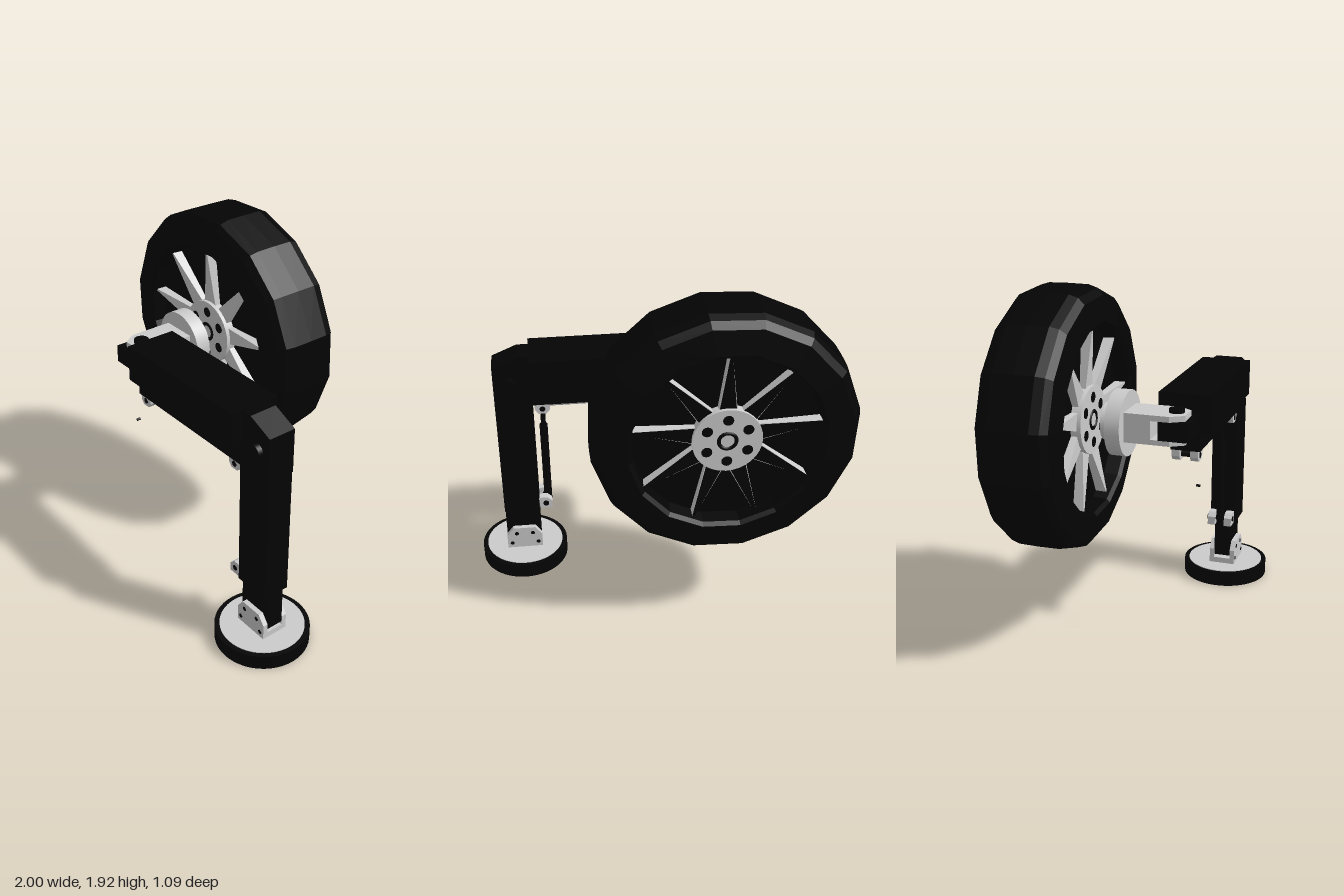
import * as THREE from 'three';

const black = new THREE.MeshStandardMaterial({ color: 0x040404, side: THREE.DoubleSide });
const blackFlat = new THREE.MeshStandardMaterial({ color: 0x040404, side: THREE.DoubleSide, flatShading: true });
const grey = new THREE.MeshStandardMaterial({ color: 0xcccccc, side: THREE.DoubleSide });

export function createModel() {
  const model = new THREE.Group();

  function add(name, geometry, material, parent = model) {
    const mesh = new THREE.Mesh(geometry, material);
    mesh.name = name;
    parent.add(mesh);
    return mesh;
  }

  // Box given by its limits on each axis
  function block(name, [x0, x1], [y0, y1], [z0, z1], material) {
    const g = new THREE.BoxGeometry(x1 - x0, y1 - y0, z1 - z0);
    g.translate((x0 + x1) / 2, (y0 + y1) / 2, (z0 + z1) / 2);
    return add(name, g, material);
  }

  // Cylinder between two points
  function rod(name, a, b, radius, material, parent = model, sides = 24) {
    const from = new THREE.Vector3(...a), to = new THREE.Vector3(...b);
    const dir = to.clone().sub(from);
    const mesh = add(name, new THREE.CylinderGeometry(radius, radius, dir.length(), sides), material, parent);
    mesh.position.copy(from).add(to).multiplyScalar(0.5);
    mesh.quaternion.setFromUnitVectors(new THREE.Vector3(0, 1, 0), dir.normalize());
    return mesh;
  }

  // Outline in x and y, extruded from z0 to z1
  function plate(name, points, z0, z1, material) {
    const shape = new THREE.Shape(points.map(p => new THREE.Vector2(...p)));
    const g = new THREE.ExtrudeGeometry(shape, { depth: z1 - z0, bevelEnabled: false });
    g.translate(0, 0, z0);
    return add(name, g, material);
  }

  // Wheel, built around its own centre with the axle along z
  const wheel = new THREE.Group();
  wheel.name = 'wheel';
  wheel.position.set(-0.317, 1.236, -0.335);
  model.add(wheel);

  const tyreProfile = [
    [0.49, -0.19], [0.51, -0.207], [0.64, -0.187], [0.675, -0.157], [0.69, -0.11],
    [0.692, 0], [0.69, 0.11], [0.675, 0.157], [0.64, 0.187], [0.51, 0.207], [0.49, 0.19],
    [0.485, 0.1], [0.485, -0.1], [0.49, -0.19],
  ].map(p => new THREE.Vector2(...p));
  const tyre = new THREE.LatheGeometry(tyreProfile, 16, THREE.MathUtils.degToRad(13.5));
  add('tyre', tyre.rotateX(Math.PI / 2), blackFlat, wheel);
  rod('rimDisc', [0, 0, -0.11], [0, 0, 0.11], 0.49, black, wheel, 32);

  // Spokes narrow to a point and deepen toward the rim
  function spokeGeometry(width, z0, z1, flare) {
    const g = new THREE.BoxGeometry(1, 1, 1);
    const p = g.attributes.position;
    for (let i = 0; i < p.count; i++) {
      const outer = p.getY(i) > 0;
      const z = p.getZ(i) > 0 ? z1 + (outer ? flare : 0) : z0 - (outer ? flare : 0);
      p.setXYZ(i, Math.sign(p.getX(i)) * (outer ? 0.005 : width / 2), outer ? 0.485 : 0.13, z);
    }
    g.computeVertexNormals();
    return g;
  }
  for (let i = 0; i < 9; i++) {
    const turn = i * Math.PI * 2 / 9;
    add('spoke', spokeGeometry(0.105, -0.14, 0.14, 0.03), grey, wheel).rotation.z = turn;
    const cover = spokeGeometry(0.095, -0.142, -0.13, 0.03);
    add('spokeCover', cover, black, wheel).rotation.z = turn;
  }

  // Hub with six lug holes and a centre ring on each face
  rod('hub', [0, 0, -0.165], [0, 0, 0.165], 0.18, grey, wheel, 32);
  for (const s of [-1, 1]) {
    for (let i = 0; i < 6; i++) {
      const a = i * Math.PI / 3 + Math.PI / 6;
      const x = 0.12 * Math.cos(a), y = 0.12 * Math.sin(a);
      rod('lugHole', [x, y, s * 0.155], [x, y, s * 0.167], 0.028, black, wheel, 16);
    }
    const ring = add('hubRing', new THREE.TorusGeometry(0.045, 0.012, 8, 24), black, wheel);
    ring.position.z = s * 0.16;
  }

  // Axle mount: stub, flange and forked bracket
  const cx = -0.312, cy = 1.235;
  rod('axleStub', [cx, cy, -0.1], [cx, cy, -0.05], 0.098, grey, model, 32);
  rod('axleFlange', [cx, cy, -0.05], [cx, cy, 0.03], 0.173, grey, model, 40);
  block('forkBase', [-0.412, -0.21], [1.16, 1.315], [0.03, 0.17], grey);
  const forkOutline = [[-0.412, 0.17], [-0.21, 0.17], [-0.21, 0.27], [-0.255, 0.34], [-0.367, 0.34], [-0.412, 0.27]];
  for (const [y0, y1] of [[1.16, 1.187], [1.285, 1.315]]) {
    const fork = plate('forkPlate', forkOutline, 0, y1 - y0, grey);
    fork.rotation.x = Math.PI / 2;
    fork.position.y = y1;
  }
  block('armTongue', [-0.415, -0.2], [1.187, 1.283], [0.21, 0.37], black);
  rod('forkPin', [cx, 1.135, 0.28], [cx, 1.335, 0.28], 0.04, black);

  // Upper arm: wide cover over a narrower beam
  block('armCover', [-0.208, 0.648], [1.185, 1.385], [0.15, 0.433], black);
  block('armBeam', [-0.208, 0.66], [1.08, 1.19], [0.215, 0.375], black);
  plate('elbow', [[0.6, 1.08], [0.85, 1.08], [0.85, 1.325], [0.71, 1.385], [0.6, 1.385]], 0.215, 0.368, black);
  rod('elbowPin', [0.765, 1.22, 0.18], [0.765, 1.22, 0.395], 0.042, black);

  // Leg with a telescoping lower section
  block('upperLeg', [0.642, 0.85], [0.36, 1.1], [0.22, 0.37], black);
  block('lowerLeg', [0.644, 0.848], [0.14, 0.38], [0.247, 0.343], black);

  // Foot pad and ankle bracket
  const fx = 0.747, fz = 0.292;
  rod('footPad', [fx, 0, fz], [fx, 0.083, fz], 0.253, black, model, 48);
  rod('footPlate', [fx, 0.05, fz], [fx, 0.087, fz], 0.226, grey, model, 48);
  block('ankleBase', [0.642, 0.85], [0.085, 0.12], [0.22, 0.37], grey);
  const ankle = [[0.642, 0.085], [0.85, 0.085], [0.85, 0.175], [0.81, 0.227], [0.68, 0.227], [0.642, 0.175]];
  for (const [z0, z1, face] of [[0.218, 0.246, 0.216], [0.344, 0.372, 0.374]]) {
    plate('anklePlate', ankle, z0, z1, grey);
    for (const [x, y] of [[0.667, 0.12], [0.823, 0.12], [0.697, 0.188], [0.793, 0.188]]) {
      rod('ankleBolt', [x, y, (z0 + z1) / 2], [x, y, face], 0.012, black, model, 12);
    }
  }

  // Two cheeks either side of a ram, with a bolt through them
  const hz = 0.292;
  function ramMount(name, outline, x, y, reach) {
    for (const z of [hz - 0.072, hz + 0.028]) plate(name, outline, z, z + 0.044, grey);
    rod('ramBolt', [x, y, hz - reach], [x, y, hz + 0.074], 0.016, black, model, 16);
  }

  // Arm hydraulic cylinder and its mounts
  for (const x of [-0.163, 0.59]) {
    const outline = [[-0.042, 1.085], [-0.042, 1.045], [-0.022, 1.02], [0.022, 1.02], [0.042, 1.045], [0.042, 1.085]];
    ramMount('armRamMount', outline.map(([dx, y]) => [x + dx, y]), x, 1.05, 0.074);
  }
  rod('armRamRod', [-0.163, 1.05, hz], [0.04, 1.052, hz], 0.014, black, model, 16);
  rod('armRam', [0.03, 1.052, hz], [0.57, 1.05, hz], 0.021, grey, model, 20);

  // Leg hydraulic cylinder and its lower mount
  rod('legRamRod', [0.59, 1.05, hz], [0.59, 0.89, hz], 0.014, black, model, 16);
  rod('legRam', [0.59, 0.905, hz], [0.59, 0.37, hz], 0.023, black, model, 20);
  const lower = [[0.645, 0.365], [0.645, 0.44], [0.595, 0.44], [0.568, 0.415], [0.568, 0.365]];
  ramMount('legRamMount', lower, 0.605, 0.402, 0.08);

  // Small loose pin below the arm
  rod('loosePin', [-0.23, 0.905, 0.365], [-0.23, 0.905, 0.385], 0.007, black, model, 8);

  return model;
}
